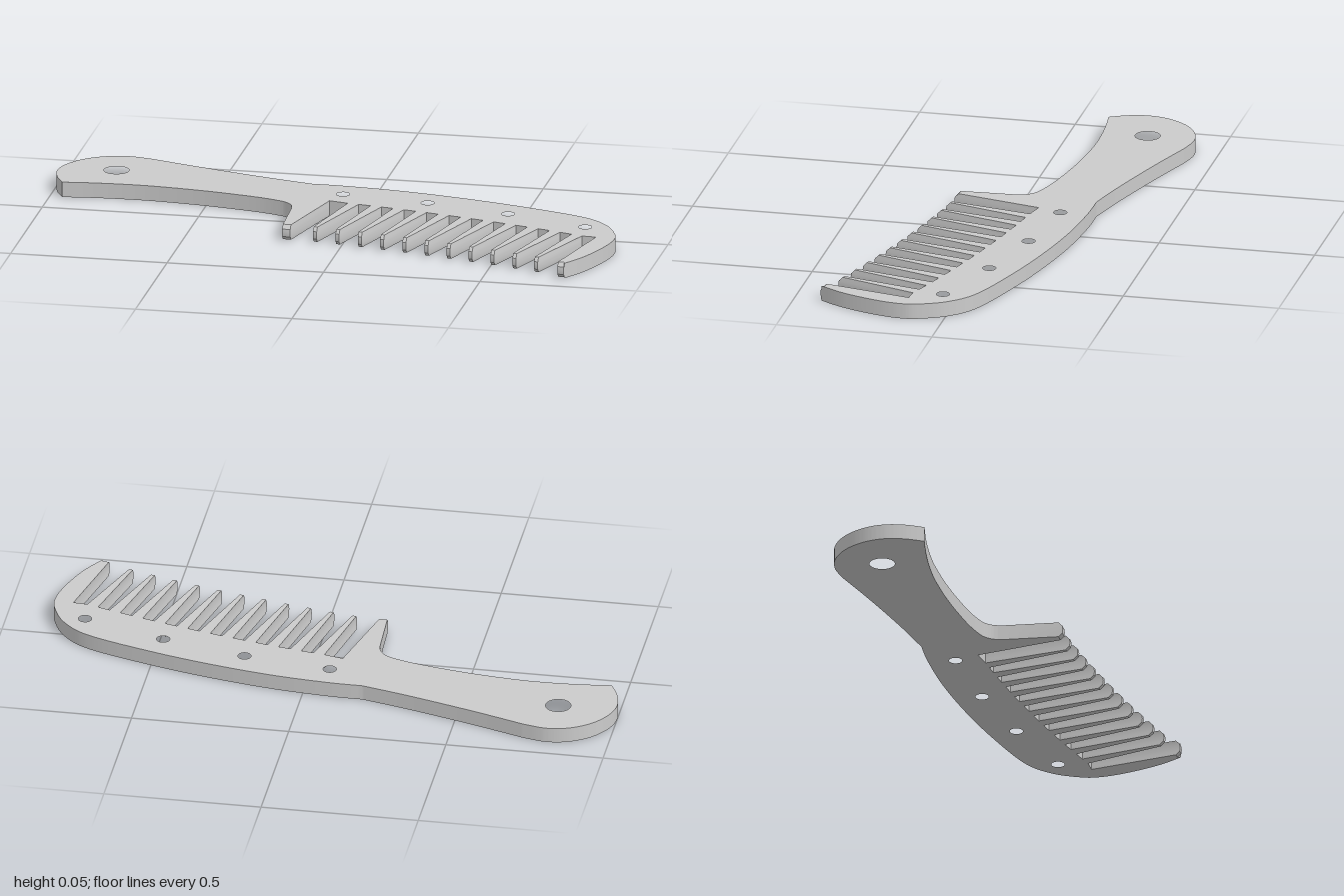
import * as THREE from 'three';
import { toCreasedNormals } from 'three/addons/utils/BufferGeometryUtils.js';

const THICK = 0.049, STEPS = 4, TEETH = 11;

// plan coordinates are (x, z); the shape is drawn with y = -z
const v = (x, z) => new THREE.Vector2(x, -z);

export function createModel() {
  const group = new THREE.Group();
  const shape = new THREE.Shape();
  const tips = [];
  const spline = (...pts) => shape.splineThru(pts.map(([x, z]) => v(x, z)));
  const line = (x, z) => shape.lineTo(x, -z);
  const tip = (x, z) => { tips.push(v(x, z)); line(x, z); };

  // rounded handle end, handle top and curved spine
  shape.moveTo(-0.96, 0.117);
  spline([-0.988, -0.175], [-1, -0.24], [-0.985, -0.307], [-0.94, -0.372], [-0.875, -0.414],
    [-0.805, -0.427], [-0.73, -0.413]);
  spline([-0.6, -0.37], [-0.48, -0.333], [-0.33, -0.29], [-0.19, -0.255]);
  spline([-0.08, -0.253], [0.1, -0.236], [0.3, -0.2], [0.5, -0.15], [0.71, -0.08],
    [0.8, -0.01], [0.845, 0.075], [0.855, 0.135], [0.84, 0.22], [0.8, 0.33], [0.75, 0.416]);

  // far guard tooth
  tip(0.75, 0.416);
  tip(0.73, 0.414);
  line(0.794, 0.122);

  // thin tapered teeth, from the far end back to the handle
  const rootZ = (x) => -0.073 + 0.16 * (x + 0.02) + 0.115 * (x + 0.02) ** 2;
  for (let i = TEETH - 1; i >= 0; i--) {
    const t = i / (TEETH - 1);
    const root = -0.021 + 0.752 * t;
    const tx = -0.088 + 0.742 * t, tz = 0.204 + 0.118 * t + 0.057 * t * t;
    line(root + 0.018, rootZ(root + 0.018));
    tip(tx + 0.006, tz);
    tip(tx - 0.006, tz - 0.003);
    line(root - 0.018, rootZ(root - 0.018));
  }

  // near guard tooth, fillet and handle underside
  line(-0.1, -0.09);
  tip(-0.168, 0.197);
  tip(-0.194, 0.195);
  line(-0.201, 0.01);
  spline([-0.208, -0.02], [-0.225, -0.043], [-0.255, -0.06], [-0.34, -0.085], [-0.5, -0.114],
    [-0.65, -0.13], [-0.75, -0.133], [-0.86, -0.128], [-0.96, -0.117]);

  // hanging hole and spine holes
  for (const [x, z, r] of [[-0.818, -0.275, 0.04], [-0.072, -0.166, 0.021],
    [0.206, -0.128, 0.021], [0.476, -0.064, 0.021], [0.74, 0.024, 0.021]]) {
    shape.holes.push(new THREE.Path().absarc(x, -z, r, 0, Math.PI * 2, true));
  }

  const geo = new THREE.ExtrudeGeometry(shape, {
    depth: THICK, steps: STEPS, bevelEnabled: false, curveSegments: 10,
  });

  // round the tooth tips across the thickness by drawing back the outer layers
  const pos = geo.attributes.position;
  for (let i = 0; i < pos.count; i++) {
    const x = pos.getX(i), y = pos.getY(i);
    if (!tips.some((p) => Math.hypot(p.x - x, p.y - y) < 1e-4)) continue;
    const edge = Math.abs(pos.getZ(i) / THICK - 0.5) * 2;
    pos.setY(i, y + 0.014 * edge ** 3);
  }
  geo.rotateX(-Math.PI / 2);

  const comb = new THREE.Mesh(toCreasedNormals(geo, 0.5),
    new THREE.MeshStandardMaterial({ color: 0xcccccc }));
  comb.name = 'combBody';
  group.add(comb);
  return group;
}
